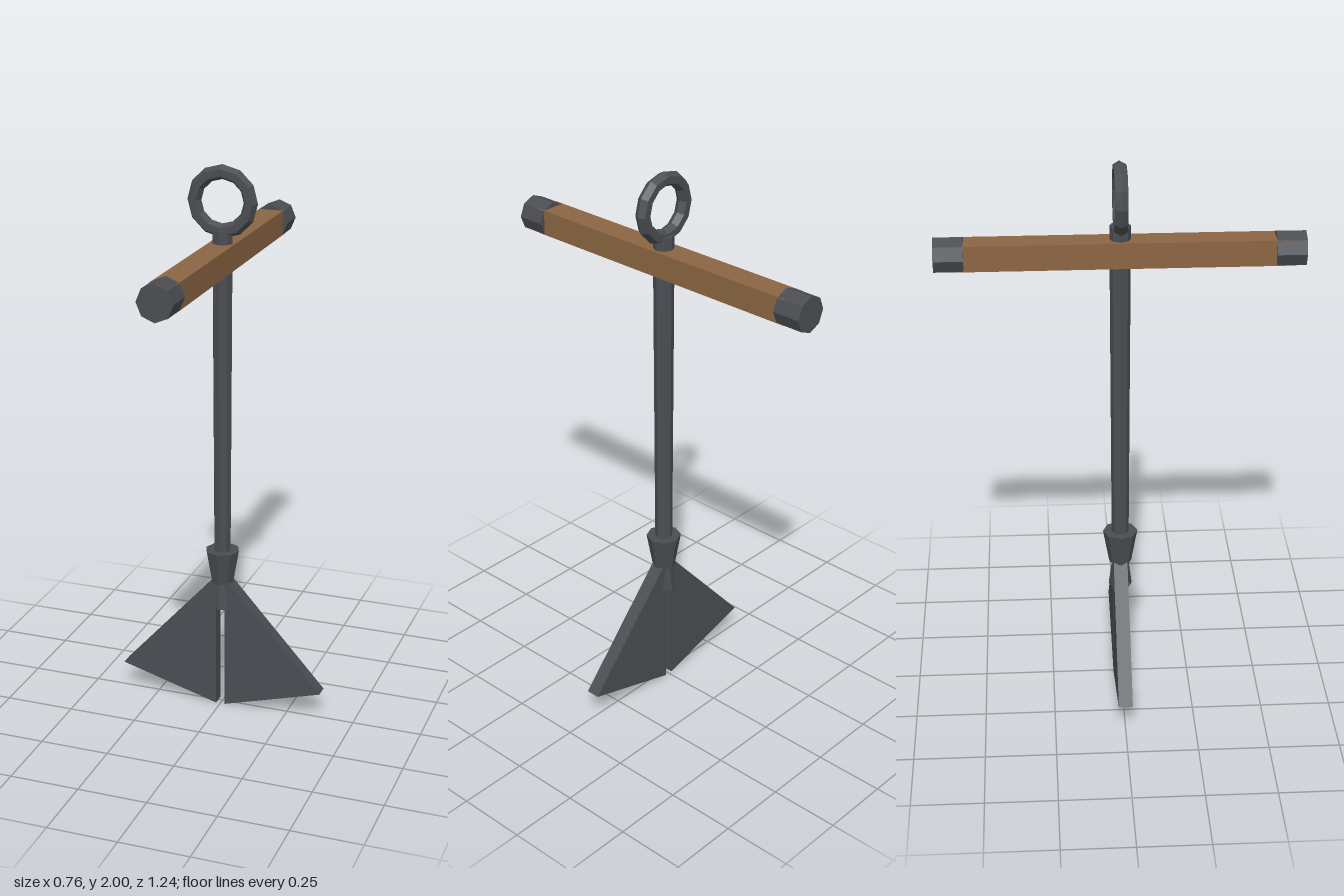
import * as THREE from 'three';

export function createModel() {
  const model = new THREE.Group();
  const iron = new THREE.MeshStandardMaterial({ color: 0x4a4d52, flatShading: true });
  const wood = new THREE.MeshStandardMaterial({ color: 0x8b6542, flatShading: true });

  const add = (name, geometry, material, y = 0, z = 0) => {
    const mesh = new THREE.Mesh(geometry, material);
    mesh.name = name;
    mesh.position.set(0, y, z);
    model.add(mesh);
    return mesh;
  };
  // Eight-sided tapered rod between two heights
  const rod = (name, rTop, rBottom, y0, y1) =>
    add(name, new THREE.CylinderGeometry(rTop, rBottom, y1 - y0, 8), iron, (y0 + y1) / 2);

  // Shank with the collar and flared foot above the flukes
  rod('shank', 0.036, 0.03, 0.45, 1.78);
  rod('collar', 0.062, 0.04, 0.485, 0.61);
  rod('shankFoot', 0.028, 0.042, 0.388, 0.5);

  // Ring at the head
  add('ring', new THREE.TorusGeometry(0.1, 0.025, 6, 12), iron, 1.875);

  // Wooden stock with iron end caps, running front to back
  add('stock', new THREE.BoxGeometry(0.09, 0.09, 1.1), wood, 1.688);
  for (const side of [1, -1]) {
    const cap = add('stockCap', new THREE.CylinderGeometry(0.0625, 0.0625, 0.1, 8), iron, 1.688, side * 0.57);
    cap.rotation.x = Math.PI / 2;
  }

  // Pair of flat triangular flukes with a slot between them
  for (const side of [1, -1]) {
    const shape = new THREE.Shape([[0.016, 0], [0.38, 0.105], [0.016, 0.51]]
      .map(([x, y]) => new THREE.Vector2(side * x, y)));
    const plate = new THREE.ExtrudeGeometry(shape, { depth: 0.05, bevelEnabled: false });
    add(side > 0 ? 'leftFluke' : 'rightFluke', plate, iron, 0, -0.025);
  }
  return model;
}
